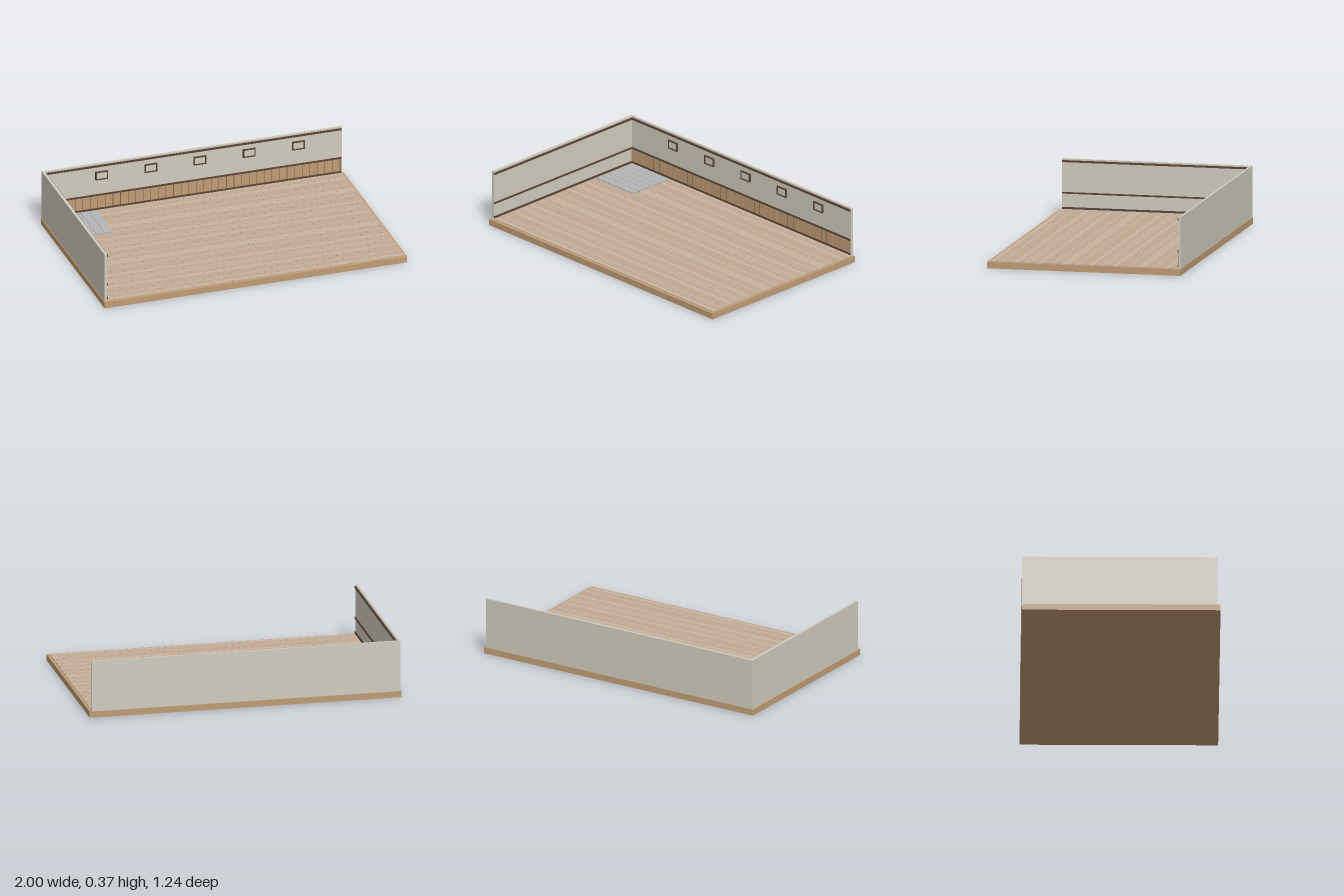
import * as THREE from 'three';
import { mergeGeometries } from 'three/addons/utils/BufferGeometryUtils.js';

const mat = (color) => new THREE.MeshStandardMaterial({ color });
const base = mat(0xc09c74), plaster = mat(0xd0ccbf), trim = mat(0x5c4436), wood = mat(0xc09c74);
const grout = mat(0x8f8f8f), tile = mat(0xb4b5b6), backing = mat(0x7d6046);

// Box given by its min and max corners
function span(x0, x1, y0, y1, z0, z1) {
  return new THREE.BoxGeometry(x1 - x0, y1 - y0, z1 - z0)
    .translate((x0 + x1) / 2, (y0 + y1) / 2, (z0 + z1) / 2);
}

export function createModel() {
  const group = new THREE.Group();
  const add = (name, material, ...geos) => {
    const mesh = new THREE.Mesh(geos.length > 1 ? mergeGeometries(geos) : geos[0], material);
    mesh.name = name;
    group.add(mesh);
  };

  // Foundation and the two walls
  add('foundation', base, span(-1, 1, 0, 0.04, -0.622, 0.622));
  add('backWall', plaster, span(-0.995, 0.985, 0.04, 0.368, -0.62, -0.605));
  add('sideWall', plaster, span(-0.995, -0.977, 0.04, 0.368, -0.605, 0.603));

  // Staggered floorboards in four wood tones
  const tones = [0xc6b09a, 0xc2aa92, 0xc9b4a0, 0xc4a895];
  const boards = tones.map(() => []);
  const rows = 40, x0 = -0.977, x1 = 0.985, z0 = -0.605, depth = 1.208 / rows, length = 0.13;
  for (let r = 0; r < rows; r++) {
    const start = x0 - ((r * 0.4) % 1) * length;
    for (let x = start; x < x1 - 0.003; x += length) {
      const a = Math.max(x, x0), b = Math.min(x + length - 0.0015, x1);
      if (b - a < 0.003) continue;
      boards[(r * 3 + (r >> 2)) % 4].push(
        span(a, b, 0.04, 0.045, z0 + r * depth, z0 + (r + 1) * depth - 0.0012));
    }
  }
  boards.forEach((list, i) => add('floorboards' + (i + 1), mat(tones[i]), ...list));

  // Tiled corner
  add('tileGrout', grout, span(-0.965, -0.637, 0.04, 0.0465, -0.603, -0.283));
  const tiles = [], tw = 0.328 / 6, td = 0.32 / 6;
  for (let i = 0; i < 6; i++) for (let j = 0; j < 6; j++) {
    const x = -0.965 + i * tw, z = -0.603 + j * td;
    tiles.push(span(x + 0.001, x + tw - 0.001, 0.045, 0.049, z + 0.001, z + td - 0.001));
  }
  add('floorTiles', tile, ...tiles);

  // Wainscot boards with narrow gaps along the back wall
  add('wainscotBacking', backing, span(-0.977, 0.98, 0.05, 0.15, -0.605, -0.6035));
  const panels = [];
  for (let i = 0; i < 40; i++) {
    const x = -0.98 + i * 0.05;
    panels.push(span(Math.max(x + 0.002, -0.977), Math.min(x + 0.048, 0.98), 0.058, 0.15, -0.605, -0.601));
  }
  add('wainscotBoards', wood, ...panels);

  // Horizontal rails on both walls: skirting, chair rail, cornice
  const rails = { skirting: [0.05, 0.062], chairRail: [0.147, 0.157], cornice: [0.347, 0.359] };
  for (const [name, [y0, y1]] of Object.entries(rails)) {
    add(name, trim,
      span(-0.977, 0.98, y0, y1, -0.605, -0.598),
      span(-0.977, -0.97, y0, y1, -0.605, 0.601));
  }

  // Small framed panels high on the back wall
  for (let i = 0; i < 5; i++) {
    const x = -0.605 + i * 0.325, w = 0.041, y0 = 0.258, y1 = 0.315, t = 0.007;
    add('frame' + (i + 1), trim,
      span(x - w, x + w, y0, y0 + t, -0.605, -0.594),
      span(x - w, x + w, y1 - t, y1, -0.605, -0.594),
      span(x - w, x - w + t, y0 + t, y1 - t, -0.605, -0.594),
      span(x + w - t, x + w, y0 + t, y1 - t, -0.605, -0.594));
    add('framePanel' + (i + 1), plaster, span(x - w + t, x + w - t, y0 + t, y1 - t, -0.605, -0.599));
  }
  return group;
}
